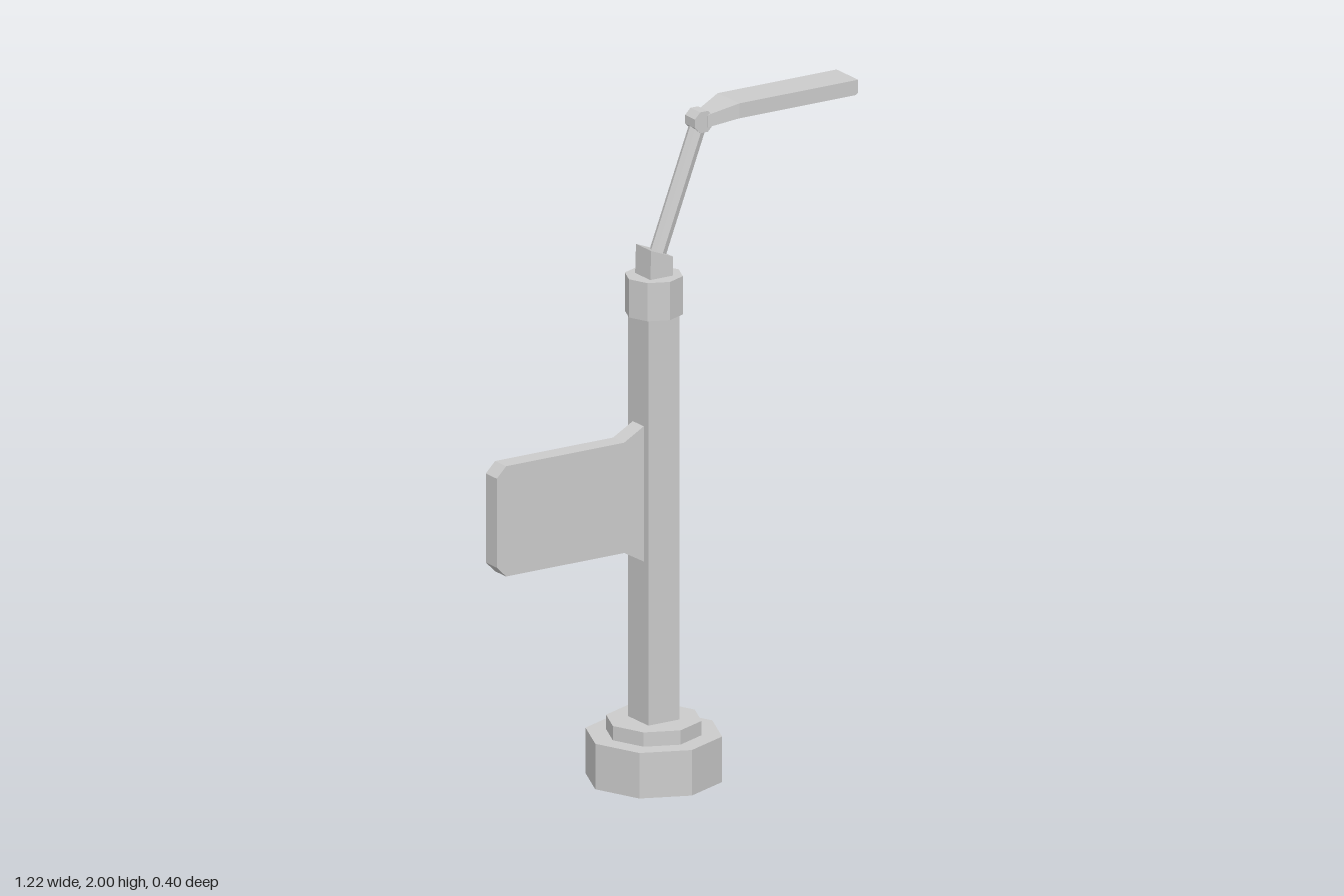
import * as THREE from 'three';

const material = new THREE.MeshStandardMaterial({ color: 0xcccccc, flatShading: true });
const POST_X = -0.055;

export function createModel() {
  const group = new THREE.Group();

  const add = (name, geometry, x = 0, y = 0, z = 0) => {
    const mesh = new THREE.Mesh(geometry, material);
    mesh.name = name;
    mesh.position.set(x, y, z);
    group.add(mesh);
    return mesh;
  };

  // Upright octagonal drum between two heights
  const drum = (name, radius, y0, y1) =>
    add(name, new THREE.CylinderGeometry(radius, radius, y1 - y0, 8), POST_X, (y0 + y1) / 2);

  // Side profile extruded symmetrically in z
  const slab = (name, points, depth) => {
    const shape = new THREE.Shape(points.map(([x, y]) => new THREE.Vector2(x, y)));
    const geometry = new THREE.ExtrudeGeometry(shape, { depth, bevelEnabled: false });
    return add(name, geometry, 0, 0, -depth / 2);
  };

  // Stepped base, square post and collar
  drum('base', 0.2, 0, 0.137);
  drum('baseStep', 0.14, 0.137, 0.18);
  add('post', new THREE.BoxGeometry(0.106, 1.24, 0.106), POST_X, 0.79);
  drum('collar', 0.085, 1.4, 1.515);

  // Sign panel with clipped outer corners and a flared root
  slab('signPanel', [
    [-0.1, 0.663], [-0.175, 0.705], [-0.578, 0.705], [-0.61, 0.737],
    [-0.61, 1.005], [-0.578, 1.037], [-0.175, 1.037], [-0.1, 1.079],
  ], 0.058);

  // Slope-topped socket holding the arm
  slab('armSocket', [[-0.093, 1.51], [-0.015, 1.51], [-0.015, 1.572], [-0.09, 1.602]], 0.08);

  // Leaning arm
  const start = new THREE.Vector3(-0.045, 1.57, 0);
  const end = new THREE.Vector3(0.1, 1.95, 0);
  const along = end.clone().sub(start);
  const arm = add('arm', new THREE.CylinderGeometry(0.025, 0.025, along.length(), 8));
  arm.position.copy(start).add(end).multiplyScalar(0.5);
  arm.quaternion.setFromUnitVectors(new THREE.Vector3(0, 1, 0), along.normalize());

  // Elbow joint
  const elbow = add('elbow', new THREE.CylinderGeometry(0.034, 0.034, 0.052, 8), 0.1, 1.953);
  elbow.rotation.set(Math.PI / 2, Math.PI / 8, 0);

  // Lamp head: box whose cross-sections are [x, bottom, top, half width]
  const sections = [
    [0.11, 1.935, 1.972, 0.027],
    [0.2, 1.955, 2, 0.057],
    [0.598, 1.955, 2, 0.057],
    [0.606, 1.962, 2, 0.057],
  ];
  const head = new THREE.BoxGeometry(3, 1, 1, 3, 1, 1);
  const pos = head.attributes.position;
  for (let i = 0; i < pos.count; i++) {
    const [x, bottom, top, half] = sections[Math.round(pos.getX(i) + 1.5)];
    pos.setXYZ(i, x, pos.getY(i) > 0 ? top : bottom, Math.sign(pos.getZ(i)) * half);
  }
  head.computeVertexNormals();
  add('lampHead', head);

  return group;
}
